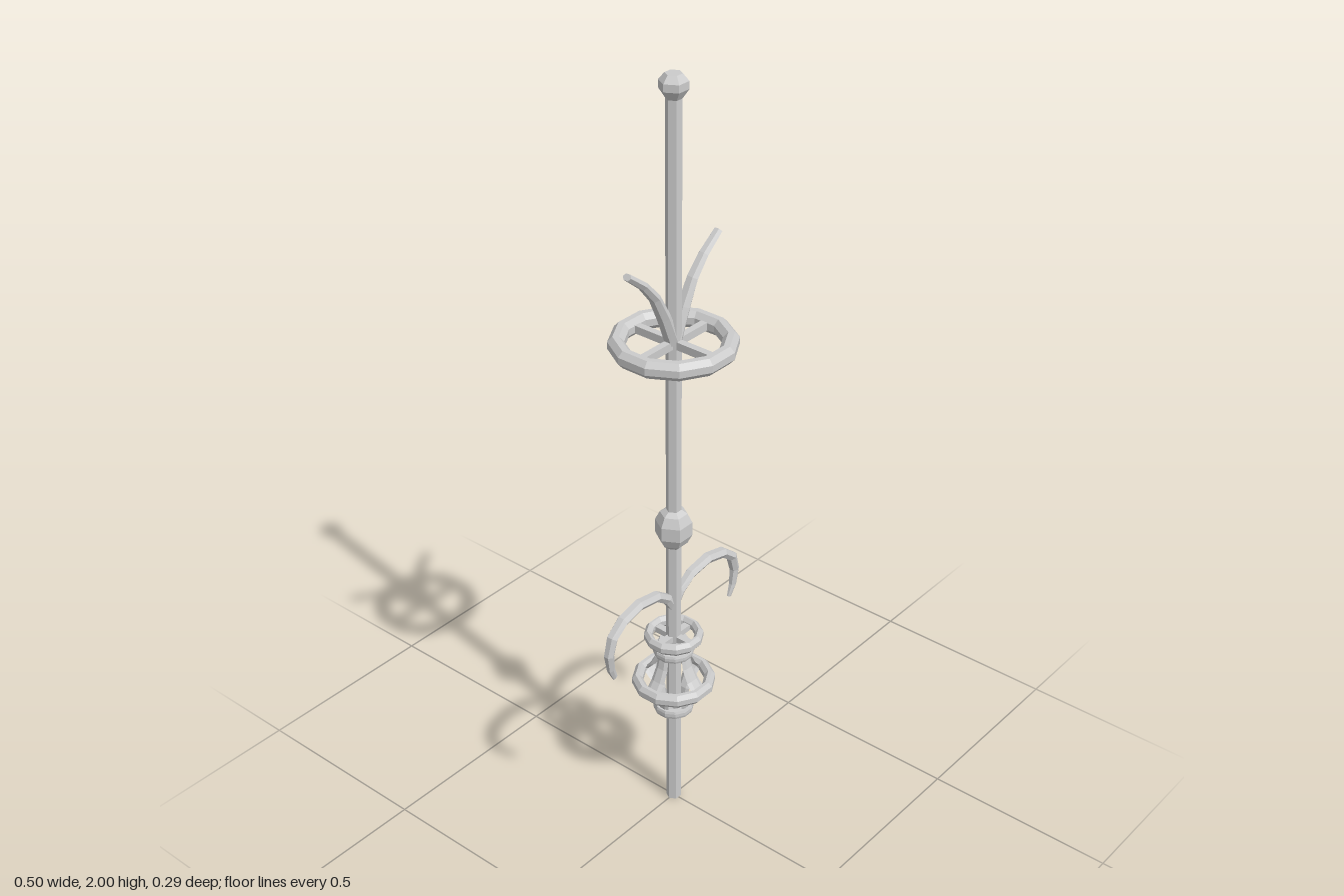
import * as THREE from 'three';

const grey = new THREE.MeshStandardMaterial({ color: 0xcccccc, flatShading: true, side: THREE.DoubleSide });

function add(group, name, geometry) {
  const mesh = new THREE.Mesh(geometry, grey);
  mesh.name = name;
  group.add(mesh);
  return mesh;
}

// Turned part from [radius, height] pairs, listed bottom to top on the outside
function turned(profile, sides, start) {
  return new THREE.LatheGeometry(profile.map(([r, y]) => new THREE.Vector2(r, y)), sides, start);
}

// Twelve-sided ring with a bevelled section, open in the middle
function ring(inner, outer, y, height, bevel) {
  const h = height / 2, a = inner + bevel, b = outer - bevel;
  return turned([[a, y - h], [b, y - h], [outer, y - h * 0.4], [outer, y + h * 0.4], [b, y + h],
    [a, y + h], [inner, y + h * 0.4], [inner, y - h * 0.4], [a, y - h]], 12, Math.PI / 12);
}

// Six-sided bar swept along [x, y, half thickness, half depth] stations in the xy plane
function sweptBar(stations) {
  const sides = 6, positions = [], index = [];
  stations.forEach(([x, y, thick, depth], i) => {
    const p = stations[Math.max(i - 1, 0)], q = stations[Math.min(i + 1, stations.length - 1)];
    const t = new THREE.Vector2(q[0] - p[0], q[1] - p[1]).normalize();
    for (let j = 0; j < sides; j++) {
      const a = (j / sides) * Math.PI * 2;
      const n = Math.sin(a) * thick;
      positions.push(x - t.y * n, y + t.x * n, Math.cos(a) * depth);
    }
  });
  for (let i = 0; i < stations.length - 1; i++) {
    for (let j = 0; j < sides; j++) {
      const a = i * sides + j, b = i * sides + (j + 1) % sides;
      index.push(a, a + sides, b, b, a + sides, b + sides);
    }
  }
  const last = (stations.length - 1) * sides;
  for (let j = 1; j < sides - 1; j++) {
    index.push(0, j, j + 1, last, last + j + 1, last + j);
  }
  const geometry = new THREE.BufferGeometry();
  geometry.setAttribute('position', new THREE.Float32BufferAttribute(positions, 3));
  geometry.setIndex(index);
  geometry.computeVertexNormals();
  return geometry;
}

// Copies spaced evenly about the pole
function around(group, name, geometry, count) {
  for (let i = 0; i < count; i++) {
    add(group, name, geometry).rotation.y = (i / count) * Math.PI * 2;
  }
}

function spokes(group, name, y, length, width, height) {
  const geometry = new THREE.BoxGeometry(length, height, width);
  geometry.translate(length / 2, y, 0);
  around(group, name, geometry, 4);
}

export function createModel() {
  const model = new THREE.Group();
  model.name = 'ornamentalPole';

  // Six-sided pole, finial and bulb
  const corner = Math.PI / 2;
  add(model, 'pole', turned([[0, 0], [0.019, 0], [0.019, 1.96], [0, 1.96]], 6, corner));
  add(model, 'finial', turned([[0.019, 1.944], [0.034, 1.966], [0.034, 1.984], [0.02, 2], [0, 2]], 6, corner));
  add(model, 'bulb', turned([[0.019, 0.795], [0.034, 0.808], [0.046, 0.832], [0.046, 0.868],
    [0.034, 0.892], [0.019, 0.902]], 6, corner));

  // Large upper wheel
  add(model, 'upperRing', ring(0.113, 0.152, 1.355, 0.044, 0.012));
  spokes(model, 'upperSpoke', 1.355, 0.122, 0.018, 0.02);

  // Upswept arms above the wheel
  around(model, 'upperArm', sweptBar([[0.004, 1.36, 0.018, 0.018], [0.035, 1.435, 0.016, 0.018],
    [0.066, 1.495, 0.013, 0.016], [0.105, 1.54, 0.011, 0.014], [0.157, 1.581, 0.009, 0.012]]), 2);

  // Drooping hooked arms
  around(model, 'lowerArm', sweptBar([[0.002, 0.615, 0.014, 0.011], [0.025, 0.65, 0.014, 0.013],
    [0.065, 0.679, 0.014, 0.015], [0.13, 0.69, 0.014, 0.016], [0.19, 0.676, 0.014, 0.016],
    [0.228, 0.645, 0.014, 0.015], [0.241, 0.6, 0.013, 0.013], [0.235, 0.555, 0.011, 0.009],
    [0.221, 0.523, 0.008, 0.004]]), 2);

  // Small wheel and its neck
  add(model, 'smallRing', ring(0.054, 0.075, 0.526, 0.032, 0.008));
  spokes(model, 'smallSpoke', 0.522, 0.06, 0.018, 0.016);
  add(model, 'neck', ring(0.018, 0.04, 0.503, 0.018, 0.003));

  // Cage of four curved ribs held by collars and a wide ring
  add(model, 'cageTopCollar', ring(0.034, 0.052, 0.482, 0.02, 0.002));
  spokes(model, 'collarSpoke', 0.482, 0.04, 0.018, 0.014);
  add(model, 'cageRing', ring(0.079, 0.106, 0.388, 0.036, 0.009));
  add(model, 'cageBottomCollar', ring(0.034, 0.052, 0.306, 0.022, 0.002));
  spokes(model, 'collarSpoke', 0.306, 0.04, 0.018, 0.014);
  around(model, 'cageRib', sweptBar([[0.037, 0.306, 0.006, 0.015], [0.042, 0.335, 0.006, 0.017],
    [0.06, 0.365, 0.006, 0.02], [0.082, 0.388, 0.006, 0.022], [0.062, 0.412, 0.006, 0.02],
    [0.046, 0.445, 0.006, 0.018], [0.037, 0.482, 0.006, 0.015]]), 4);

  return model;
}
